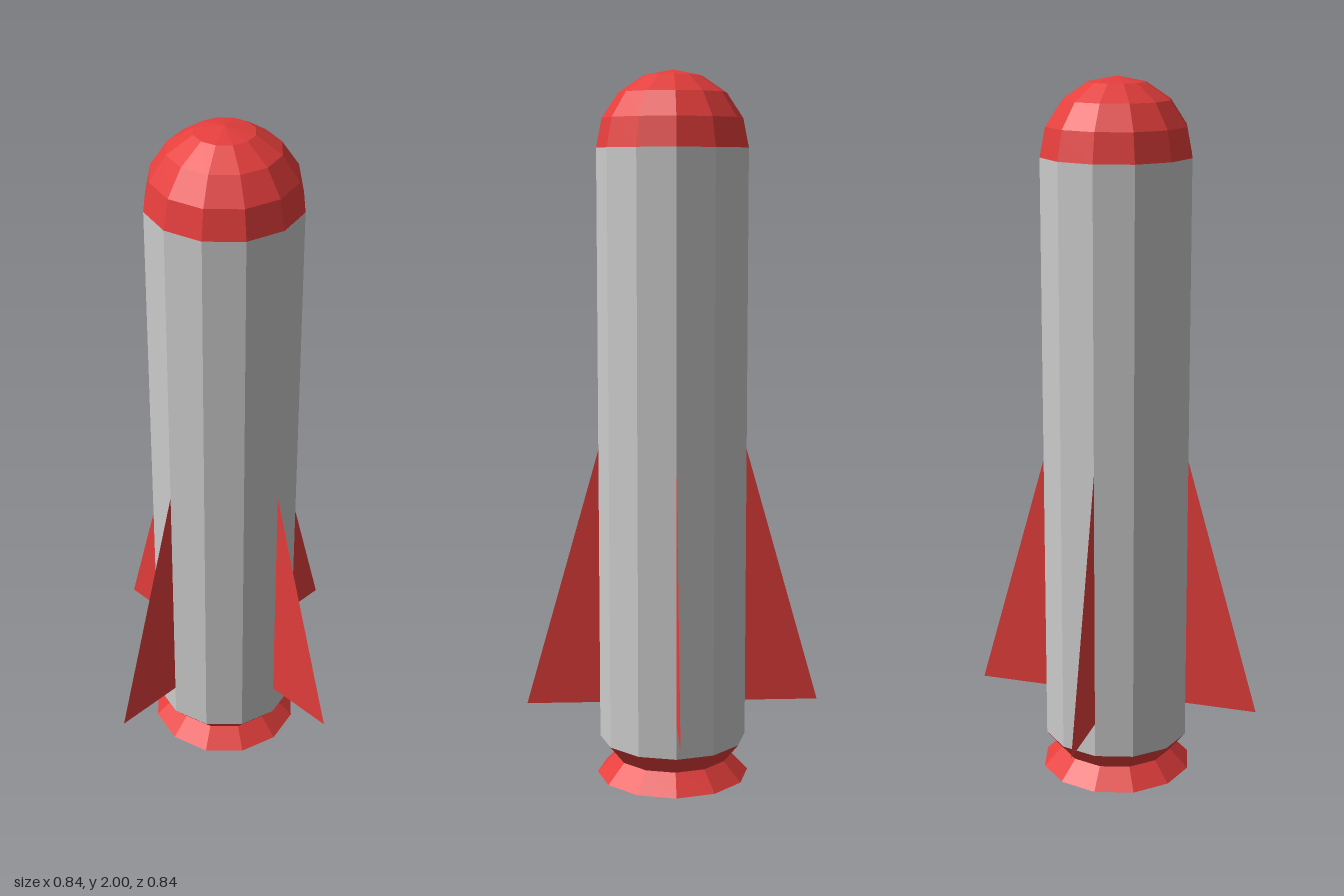
import * as THREE from 'three';

const SIDES = 12;
const R = 0.21; // hull radius

export function createModel() {
  const grey = new THREE.MeshStandardMaterial({ color: 0xcccccc, flatShading: true });
  const red = new THREE.MeshStandardMaterial({ color: 0xe53e3c, flatShading: true });
  const redThin = new THREE.MeshStandardMaterial({ color: 0xe53e3c, flatShading: true, side: THREE.DoubleSide });

  const rocket = new THREE.Group();
  rocket.name = 'rocket';

  const add = (name, geometry, material) => {
    const mesh = new THREE.Mesh(geometry, material);
    mesh.name = name;
    rocket.add(mesh);
    return mesh;
  };
  // Faceted turned part; profile points [radius, height] run upwards
  const turned = (profile) =>
    new THREE.LatheGeometry(profile.map(([r, y]) => new THREE.Vector2(r, y)), SIDES);

  // Straight hull
  add('hull', turned([[R, 0.11], [R, 1.79]]), grey);

  // Domed nose: quarter circle in four steps
  const dome = [];
  for (let i = 0; i <= 4; i++) {
    const a = (i / 4) * Math.PI / 2;
    dome.push([i === 4 ? 0 : R * Math.cos(a), 1.79 + R * Math.sin(a)]);
  }
  add('noseCap', turned(dome), red);

  // Tapered collar, closed at the throat
  add('tailCollar', turned([[0, 0.055], [0.165, 0.055], [R, 0.11]]), red);

  // Open flared nozzle
  add('nozzle', turned([[0.218, 0], [0.165, 0.055]]), redThin);

  // Four thin triangular fins
  const finShape = new THREE.Shape([
    new THREE.Vector2(R, 0.21),
    new THREE.Vector2(0.42, 0.21),
    new THREE.Vector2(R, 0.95),
  ]);
  const finGeometry = new THREE.ShapeGeometry(finShape);
  ['leftFin', 'backFin', 'rightFin', 'frontFin'].forEach((name, i) => {
    add(name, finGeometry, redThin).rotation.y = i * Math.PI / 2;
  });

  return rocket;
}
